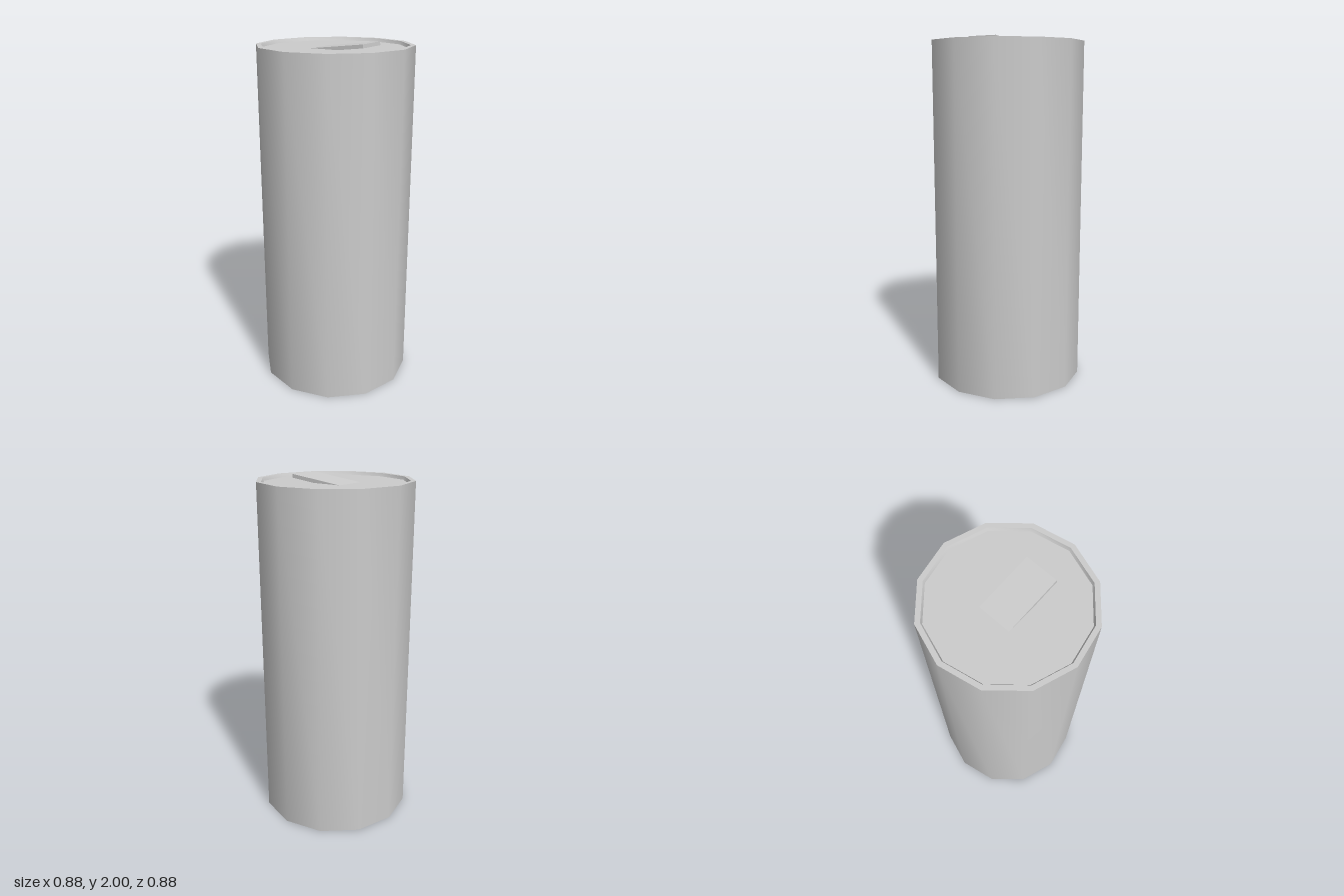
import * as THREE from 'three';
import { toCreasedNormals } from 'three/addons/utils/BufferGeometryUtils.js';

const SIDES = 12;
const RADIUS = 0.44;
const RIM_Y = 1.98;
const LID_Y = 1.962;

export function createModel() {
  const model = new THREE.Group();
  model.name = 'can';
  const material = new THREE.MeshStandardMaterial({ color: 0xcccccc });

  // Body: flat base, straight wall, rim and slightly sunken lid in one profile
  const profile = [
    [0, 0],
    [RADIUS, 0],
    [RADIUS, RIM_Y],
    [0.413, RIM_Y],
    [0.405, LID_Y],
    [0, LID_Y],
  ].map(([x, y]) => new THREE.Vector2(x, y));
  const body = new THREE.Mesh(
    toCreasedNormals(new THREE.LatheGeometry(profile, SIDES), 0.6),
    material
  );
  body.name = 'body';
  model.add(body);

  // Pull tab: thin plate pivoted at its raised end, the other end sinks into the lid
  const length = 0.36, thickness = 0.02, width = 0.186;
  const tabGeometry = new THREE.BoxGeometry(length, thickness, width);
  tabGeometry.translate(-length / 2, -thickness / 2, 0);
  const tab = new THREE.Mesh(tabGeometry, material);
  tab.name = 'pullTab';
  tab.position.set(0.229, 2, -0.012);
  tab.rotation.set(0, 0.06, 0.115);
  model.add(tab);

  return model;
}
